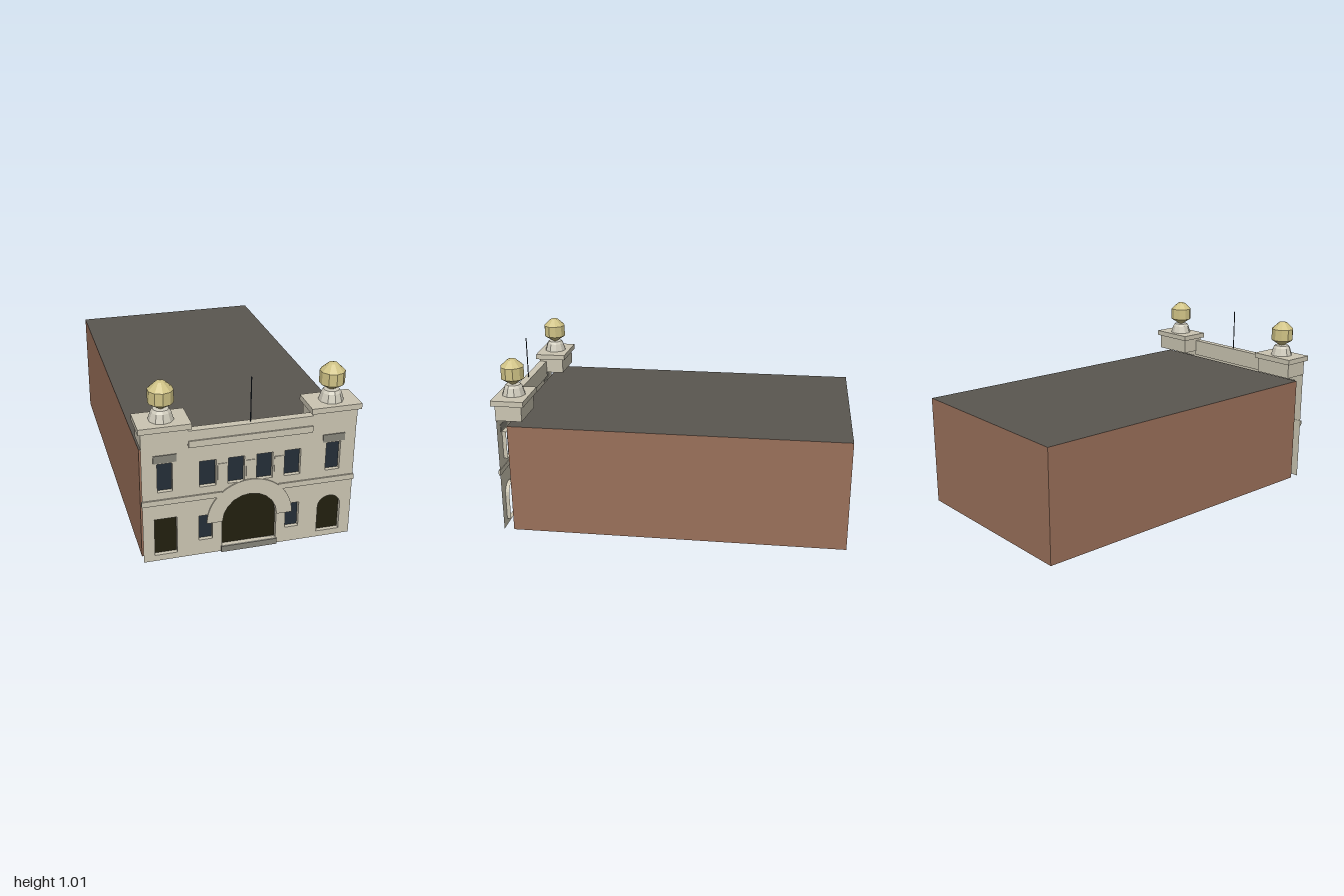
import * as THREE from 'three';

const mat = (name, color, side = THREE.FrontSide) => {
  const m = new THREE.MeshStandardMaterial({ color, side });
  m.name = name;
  return m;
};

export function createModel() {
  const group = new THREE.Group();
  const D = THREE.DoubleSide;
  const stone = mat('stone', 0xcbc5b2, D);
  const brick = mat('brick', 0x9a705a, D);
  const roofing = mat('roofing', 0x5a5650, D);
  const glass = mat('dark glass', 0x242e38);
  const doorway = mat('dark doorway', 0x22200f);
  const grey = mat('grey stone', 0x86847a);
  const gold = mat('gold', 0xcfc285);
  gold.flatShading = true;
  const pedestalStone = mat('pedestal stone', 0xd0ccbd);
  pedestalStone.flatShading = true;

  const FRONT = 0.978, RECESS = 0.955;

  const add = (name, geo, material) => {
    const m = new THREE.Mesh(geo, material);
    m.name = name;
    group.add(m);
    return m;
  };
  // Box given by its limits on each axis
  const box = (name, x0, x1, y0, y1, z0, z1, material) => {
    const m = add(name, new THREE.BoxGeometry(x1 - x0, y1 - y0, z1 - z0), material);
    m.position.set((x0 + x1) / 2, (y0 + y1) / 2, (z0 + z1) / 2);
    return m;
  };
  const rect = (x0, x1, y0, y1) => new THREE.Shape([
    new THREE.Vector2(x0, y0), new THREE.Vector2(x1, y0),
    new THREE.Vector2(x1, y1), new THREE.Vector2(x0, y1)]);
  const arch = (cx, r, y0, spring, n) => {
    const pts = [new THREE.Vector2(cx - r, y0), new THREE.Vector2(cx + r, y0)];
    for (let i = 0; i <= n; i++) {
      const a = Math.PI * i / n;
      pts.push(new THREE.Vector2(cx + r * Math.cos(a), spring + r * Math.sin(a)));
    }
    return new THREE.Shape(pts);
  };

  // Hall: open underneath, brick walls and flat roof
  const hall = (keep) => {
    const g = new THREE.BoxGeometry(1.15, 0.645, 1.92);
    const idx = Array.from(g.index.array);
    g.setIndex(keep.flatMap((f) => idx.slice(f * 6, f * 6 + 6)));
    g.clearGroups();
    return g.translate(0, 0.3225, -0.04);
  };
  add('hallWalls', hall([0, 1, 4, 5]), brick);
  add('hallRoof', hall([2]), roofing);

  // Facade sheet with recessed openings
  const facade = rect(-0.576, 0.576, 0, 0.68);
  const opening = (name, shape, material) => {
    facade.holes.push(new THREE.Path(shape.getPoints()));
    add(name, new THREE.ShapeGeometry(shape), material).position.z = RECESS;
    const pts = shape.getPoints(), pos = [], idx = [];
    pts.forEach((p, i) => {
      const q = pts[(i + 1) % pts.length], k = i * 4;
      pos.push(p.x, p.y, FRONT, q.x, q.y, FRONT, q.x, q.y, RECESS, p.x, p.y, RECESS);
      idx.push(k, k + 1, k + 2, k, k + 2, k + 3);
    });
    const g = new THREE.BufferGeometry();
    g.setAttribute('position', new THREE.Float32BufferAttribute(pos, 3));
    g.setIndex(idx);
    g.computeVertexNormals();
    add(name + 'Reveal', g, stone);
  };
  for (const s of [-1, 1]) {
    const span = (a, b, y0, y1) => rect(Math.min(s * a, s * b), Math.max(s * a, s * b), y0, y1);
    opening('towerWindow', span(0.415, 0.495, 0.415, 0.58), glass);
    opening('outerWindow', span(0.185, 0.274, 0.415, 0.566), glass);
    opening('innerWindow', span(0.033, 0.121, 0.415, 0.566), glass);
    opening('lowerWindow', span(0.202, 0.277, 0.09, 0.24), glass);
  }
  opening('squareDoorway', rect(-0.515, -0.394, 0.035, 0.255), doorway);
  opening('archedDoorway', arch(0.45, 0.065, 0.035, 0.19, 12), doorway);
  opening('mainArch', arch(0, 0.15, 0.035, 0.19, 10), doorway);
  add('facade', new THREE.ShapeGeometry(facade), stone).position.z = FRONT;

  // Moulding around the main arch
  const ring = new THREE.Shape();
  ring.absarc(0, 0.19, 0.235, 0, Math.PI, false);
  for (let i = 10; i >= 0; i--) {
    const a = Math.PI * i / 10;
    ring.lineTo(0.15 * Math.cos(a), 0.19 + 0.15 * Math.sin(a));
  }
  add('archMoulding', new THREE.ExtrudeGeometry(ring,
    { depth: 0.007, bevelEnabled: false, curveSegments: 20 }), stone).position.z = FRONT;

  // Raised panels between the upper windows
  for (const x of [-0.153, 0, 0.153])
    box('wallPanel', x - 0.024, x + 0.024, 0.444, 0.54, FRONT, FRONT + 0.004, stone);

  // Front step and the block behind it
  box('frontStep', -0.155, 0.155, 0, 0.035, 0.87, 0.99, grey);
  box('innerBlock', -0.065, 0.065, 0.035, 0.2, 0.895, 0.925, grey);

  // Parapet, cornice and flagpole
  box('parapet', -0.334, 0.334, 0.65, 0.75, 0.937, 0.982, stone);
  box('cornice', -0.331, 0.331, 0.658, 0.695, 0.96, 0.99, stone);
  const pole = add('flagpole', new THREE.CylinderGeometry(0.003, 0.003, 0.25, 6), glass);
  pole.position.set(0, 0.873, 0.958);

  // Corner towers, mirrored
  const lathe = (pts) => new THREE.LatheGeometry(
    pts.map(([r, y]) => new THREE.Vector2(r, y)), 10);
  for (const s of [-1, 1]) {
    const c = s * 0.454;
    box('towerBlock', c - 0.122, c + 0.122, 0.677, 0.768, 0.83, 0.981, stone);
    box('towerCap', c - 0.137, c + 0.137, 0.767, 0.798, 0.813, 1, stone);
    box('windowHood', c - 0.061, c + 0.061, 0.587, 0.63, FRONT - 0.002, FRONT + 0.005, grey);
    const bx = s * 0.367;
    box('stringCourse', bx - 0.213, bx + 0.213, 0.342, 0.373, FRONT - 0.003, FRONT + 0.008, stone);
    const pedestal = add('pedestal', lathe(
      [[0.067, 0.797], [0.053, 0.843], [0.042, 0.858], [0, 0.86]]), pedestalStone);
    const ball = add('goldFinial', lathe(
      [[0.012, 0.858], [0.067, 0.894], [0.067, 0.963], [0.024, 1.003], [0, 1.009]]), gold);
    pedestal.position.set(c, 0, 0.905);
    ball.position.set(c, 0, 0.905);
  }
  return group;
}
